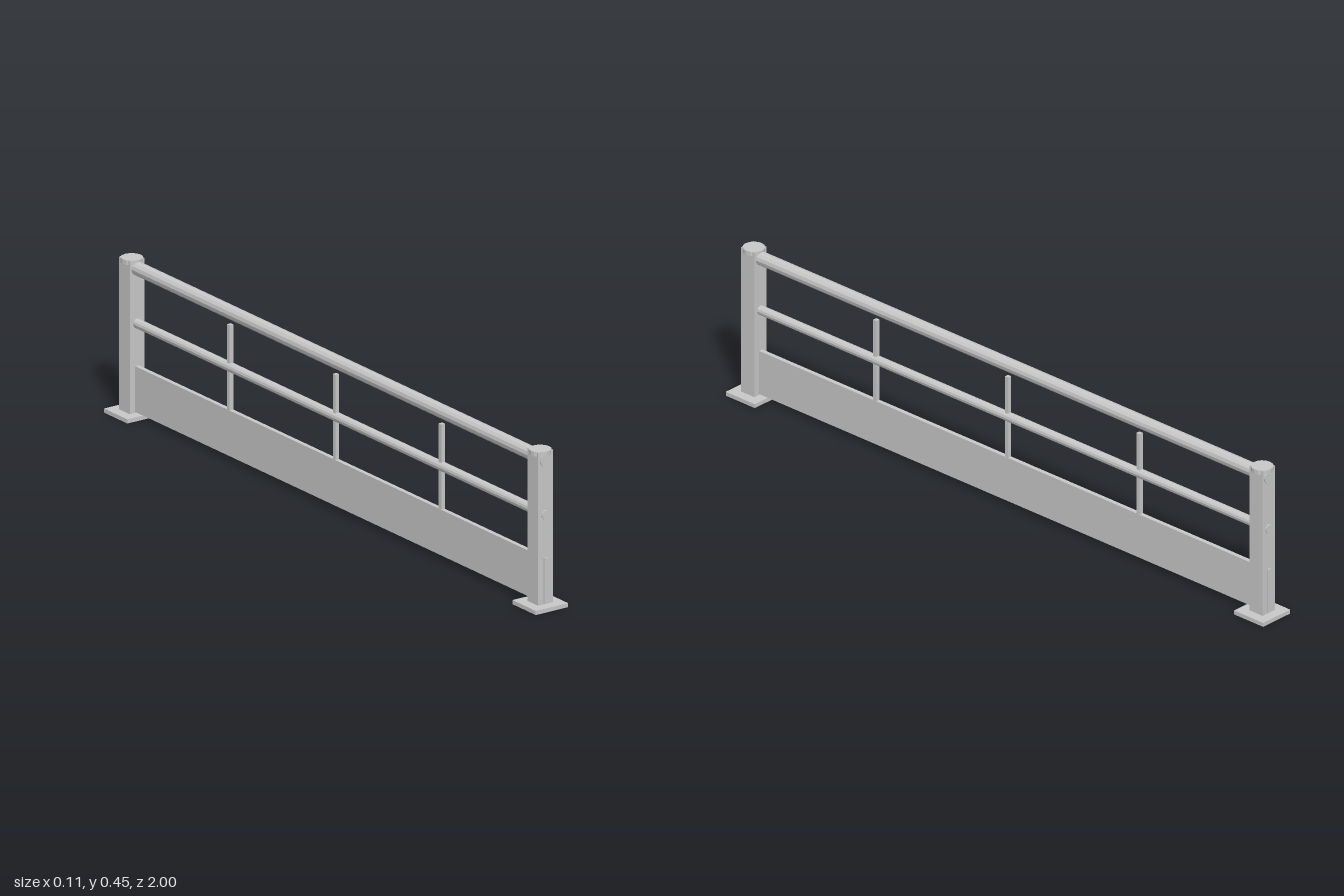
import * as THREE from 'three';

export function createModel() {
  const model = new THREE.Group();
  model.name = 'guardRail';
  const metal = new THREE.MeshStandardMaterial({ color: 0xc8c8c8, flatShading: true });
  metal.name = 'light grey metal';

  const add = (name, geometry, x, y, z) => {
    const mesh = new THREE.Mesh(geometry, metal);
    mesh.name = name;
    mesh.position.set(x, y, z);
    model.add(mesh);
    return mesh;
  };
  // Box given by width, depth and its bottom and top heights
  const box = (name, w, d, y0, y1, z) =>
    add(name, new THREE.BoxGeometry(w, y1 - y0, d), 0, (y0 + y1) / 2, z);

  const postZ = 0.946;
  const railLength = 1.948; // rails pass through and just beyond the posts

  // End posts with base plates and round caps
  for (const [side, s] of [['front', 1], ['back', -1]]) {
    box(side + 'BasePlate', 0.108, 0.108, 0, 0.012, s * postZ);
    box(side + 'Post', 0.049, 0.049, 0.012, 0.4535, s * postZ);
    add(side + 'PostCap', new THREE.CylinderGeometry(0.031, 0.031, 0.0135, 16), 0, 0.4475, s * postZ);
  }

  // Round horizontal rails
  for (const [name, radius, y] of [['topRail', 0.0195, 0.429], ['middleRail', 0.0135, 0.27]]) {
    const geometry = new THREE.CylinderGeometry(radius, radius, railLength, 12);
    geometry.rotateX(Math.PI / 2);
    add(name, geometry, 0, y, 0);
  }

  // Toe board along the bottom
  box('toeBoard', 0.013, railLength, 0.015, 0.147, 0);

  // Slim uprights standing on the toe board
  for (const z of [-0.49, 0, 0.49]) box('upright', 0.012, 0.012, 0.145, 0.393, z);

  return model;
}
